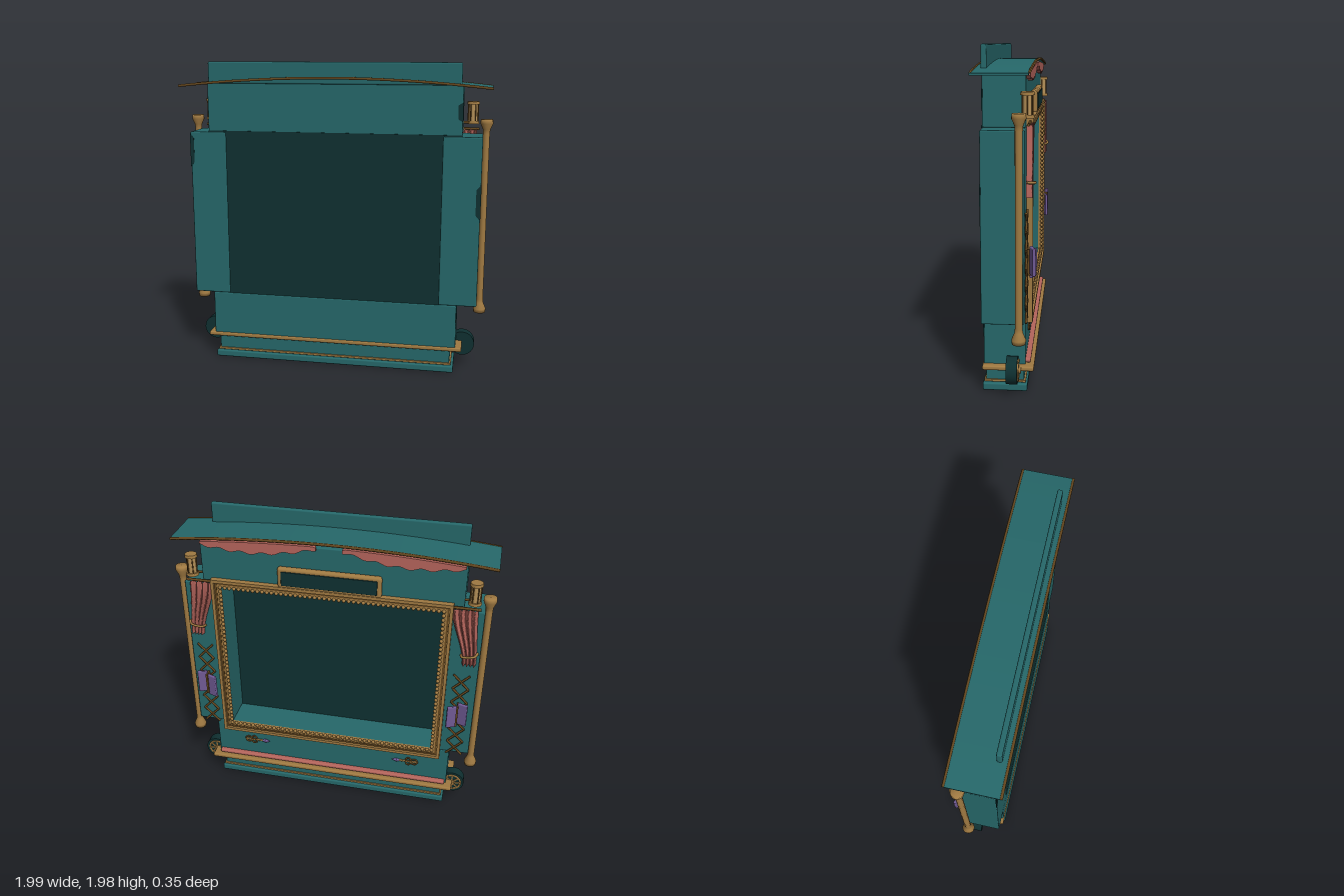
import * as THREE from 'three';
import { RoundedBoxGeometry } from 'three/addons/geometries/RoundedBoxGeometry.js';

const mat = (name, color, side = THREE.FrontSide) => {
  const m = new THREE.MeshStandardMaterial({ color, side });
  m.name = name;
  return m;
};

export function createModel() {
  const root = new THREE.Group();
  root.name = 'puppetStage';
  const teal = mat('teal paint', 0x26686a);
  const dark = mat('dark teal', 0x0f3031);
  const brass = mat('brass', 0xa07a42);
  const bronze = mat('dark bronze', 0x66481f);
  const rose = mat('rose cloth', 0xb5655c, THREE.DoubleSide);
  const purple = mat('purple', 0x705a94);
  const amber = mat('amber glass', 0xb8935a);

  const add = (name, geo, material, parent = root) => {
    const m = new THREE.Mesh(geo, material);
    m.name = name;
    parent.add(m);
    return m;
  };
  // box given by its limits on each axis
  const box = (name, material, [x0, x1], [y0, y1], [z0, z1], r = 0) => {
    const d = [x1 - x0, y1 - y0, z1 - z0];
    const g = r ? new RoundedBoxGeometry(...d, 2, r) : new THREE.BoxGeometry(...d);
    g.translate((x0 + x1) / 2, (y0 + y1) / 2, (z0 + z1) / 2);
    return add(name, g, material);
  };
  const span = (s, a, b) => (s > 0 ? [a, b] : [-b, -a]);
  const tube = (name, pts, r, material, n = 24, sides = 6) =>
    add(name, new THREE.TubeGeometry(new THREE.CatmullRomCurve3(pts.map(p => new THREE.Vector3(...p))), n, r, sides), material);
  const rod = (name, a, b, r, material) => {
    const A = new THREE.Vector3(...a), B = new THREE.Vector3(...b);
    const m = add(name, new THREE.CylinderGeometry(r, r, A.distanceTo(B), 6), material);
    m.position.copy(A).add(B).multiplyScalar(0.5);
    m.quaternion.setFromUnitVectors(new THREE.Vector3(0, 1, 0), B.sub(A).normalize());
    return m;
  };

  // Cabinet
  const Z = [-0.11, 0.13];
  box('upperCabinet', teal, [-0.81, 0.81], [1.54, 1.855], Z, 0.008);
  box('lowerCabinet', teal, [-0.81, 0.81], [0.17, 0.46], Z, 0.008);
  box('footCabinet', teal, [-0.775, 0.775], [0.04, 0.18], [-0.1, 0.12]);
  box('plinth', teal, [-0.8, 0.8], [0.005, 0.05], [-0.12, 0.14], 0.01);
  box('plinthStrip', brass, [-0.785, 0.785], [0.055, 0.067], [-0.11, 0.13]);
  box('bumperBoard', brass, [-0.85, 0.85], [0.15, 0.178], [-0.16, 0.137], 0.01);
  box('clothRail', rose, [-0.8, 0.8], [0.183, 0.208], [-0.14, 0.12], 0.01);
  box('stagePanel', dark, [-0.7, 0.7], [0.455, 1.545], [0.1, 0.126]);
  box('seam', dark, [-0.81, 0.81], [1.538, 1.55], [0.12, 0.134]);

  // Roof: a shallow arched sheet with trimmed edges
  const roofY = x => 1.895 - 0.055 * (x / 0.985) ** 2;
  const xs = Array.from({ length: 25 }, (_, i) => -0.985 + (1.97 * i) / 24);
  const roof = new THREE.Shape([
    ...xs.map(x => new THREE.Vector2(x, roofY(x) - 0.012)),
    ...xs.slice().reverse().map(x => new THREE.Vector2(x, roofY(x))),
  ]);
  add('roof', new THREE.ExtrudeGeometry(roof, { depth: 0.31, bevelEnabled: false }).translate(0, 0, -0.135), teal);
  for (const z of [-0.135, 0.172]) tube('roofTrim', xs.map(x => [x, roofY(x) - 0.005, z]), 0.009, bronze, 40);
  box('signBoard', teal, [-0.8, 0.8], [1.85, 1.987], [0.105, 0.137], 0.01);

  // Proscenium frame with beading
  const rect = (w, y0, y1, P) => {
    const p = new P();
    p.moveTo(-w, y0); p.lineTo(w, y0); p.lineTo(w, y1); p.lineTo(-w, y1); p.closePath();
    return p;
  };
  const frame = (name, w, y0, y1, t, depth, material) => {
    const s = rect(w, y0, y1, THREE.Shape);
    s.holes.push(rect(w - t, y0 + t, y1 - t, THREE.Path));
    add(name, new THREE.ExtrudeGeometry(s, { depth, bevelEnabled: false }).translate(0, 0, -0.105 - depth), material);
  };
  frame('stageFrame', 0.75, 0.41, 1.585, 0.055, 0.025, brass);
  frame('stageFrameGroove', 0.728, 0.432, 1.563, 0.012, 0.029, bronze);
  frame('stageFrameLip', 0.75, 0.41, 1.585, 0.02, 0.042, brass);
  const beads = [];
  for (let i = 0; i <= 46; i++) for (const y of [0.465, 1.53]) beads.push([-0.695 + (1.39 * i) / 46, y]);
  for (let i = 1; i < 36; i++) for (const x of [-0.695, 0.695]) beads.push([x, 0.465 + (1.065 * i) / 36]);
  const bead = new THREE.SphereGeometry(0.012, 8, 6);
  const beading = new THREE.InstancedMesh(bead, brass, 0);
  beading.count = 0;
  const beadGroup = new THREE.Group();
  beadGroup.name = 'frameBeading';
  root.add(beadGroup);
  for (const [x, y] of beads) add('bead', bead, brass, beadGroup).position.set(x, y, -0.13);

  // Blank name plate above the stage
  box('platePanelFrame', brass, [-0.32, 0.32], [1.575, 1.715], [-0.145, -0.105], 0.018);
  box('platePanel', dark, [-0.295, 0.295], [1.598, 1.692], [-0.15, -0.14], 0.004);

  for (const s of [1, -1]) {
    box('sideCabinet', teal, span(s, 0.695, 0.935), [0.46, 1.54], Z, 0.008);

    // Turned side column
    const post = [[0, 0.36], [0.038, 0.36], [0.041, 0.385], [0.024, 0.425], [0.021, 0.45],
      [0.021, 1.54], [0.024, 1.57], [0.04, 1.605], [0.038, 1.632], [0, 1.632]];
    add('sideColumn', new THREE.LatheGeometry(post.map(p => new THREE.Vector2(...p)), 16), brass).position.set(s * 0.955, 0, -0.082);

    // Lantern
    const lantern = new THREE.Group();
    lantern.name = 'lantern';
    lantern.position.set(s * 0.868, 1.67, -0.122);
    root.add(lantern);
    add('lanternGlass', new THREE.CylinderGeometry(0.028, 0.028, 0.12, 12), amber, lantern);
    for (const y of [-0.061, 0.061]) add('lanternCap', new THREE.CylinderGeometry(0.037, 0.04, 0.018, 12), brass, lantern).position.y = y;
    for (let i = 0; i < 6; i++) {
      const a = (i * Math.PI) / 3;
      add('lanternBar', new THREE.CylinderGeometry(0.004, 0.004, 0.12, 5), bronze, lantern).position.set(0.031 * Math.cos(a), 0, 0.031 * Math.sin(a));
    }
    rod('lanternBracket', [s * 0.868, 1.61, -0.1], [s * 0.79, 1.61, -0.1], 0.008, bronze);

    // Wheel with spokes
    const wheel = new THREE.Group();
    wheel.name = 'wheel';
    wheel.position.set(s * 0.85, 0.158, -0.037);
    root.add(wheel);
    add('tyre', new THREE.CylinderGeometry(0.08, 0.08, 0.064, 24).rotateX(Math.PI / 2), dark, wheel);
    add('wheelRim', new THREE.TorusGeometry(0.058, 0.007, 6, 24), brass, wheel).position.z = -0.033;
    add('hub', new THREE.CylinderGeometry(0.018, 0.018, 0.025, 12).rotateX(Math.PI / 2), brass, wheel).position.z = -0.038;
    for (let i = 0; i < 4; i++) {
      const spoke = add('spoke', new THREE.BoxGeometry(0.115, 0.009, 0.008), brass, wheel);
      spoke.position.z = -0.034;
      spoke.rotation.z = (i * Math.PI) / 4;
    }

    // Valance swag with scalloped lower edge
    const swag = new THREE.Shape();
    const N = 40, sx = t => s * (0.08 + 0.72 * t);
    swag.moveTo(sx(0), roofY(sx(0)) - 0.03);
    for (let i = 1; i <= N; i++) swag.lineTo(sx(i / N), roofY(sx(i / N)) - 0.025);
    for (let i = N; i >= 0; i--) {
      const t = i / N;
      swag.lineTo(sx(t), roofY(sx(t)) - 0.045 - 0.05 * Math.sin(Math.PI * t) - 0.008 * Math.cos(t * 34));
    }
    add('valanceSwag', new THREE.ExtrudeGeometry(swag, { depth: 0.024, bevelEnabled: false }).translate(0, 0, -0.134), rose);

    // Pleated curtain, gathered outward toward the tie
    const cloth = new THREE.PlaneGeometry(1, 1, 32, 12);
    const p = cloth.attributes.position;
    for (let i = 0; i < p.count; i++) {
      const u = p.getX(i) + 0.5, v = 0.5 - p.getY(i);
      const k = v * v * (3 - 2 * v);
      const inner = 0.74 + 0.09 * k, outer = 0.895 + 0.02 * k;
      p.setXYZ(i, s * (inner + (outer - inner) * u), 1.565 - 0.39 * v, -0.136 + 0.017 * Math.cos(u * Math.PI * 8));
    }
    cloth.computeVertexNormals();
    add('curtain', cloth, rose);
    rod('curtainRod', [s * 0.73, 1.567, -0.13], [s * 0.91, 1.567, -0.13], 0.009, bronze);
    tube('curtainTie', [[s * 0.82, 1.235, -0.12], [s * 0.83, 1.245, -0.158], [s * 0.9, 1.255, -0.158], [s * 0.92, 1.26, -0.12]], 0.008, brass, 12);

    // Crossed lattice
    for (let i = 0; i < 6; i++) {
      const y = 0.455 + i * 0.105;
      for (const d of [1, -1])
        rod('latticeSlat', [s * 0.84 - d * 0.05, y, -0.118], [s * 0.84 + d * 0.05, y + 0.105, -0.118], 0.007, bronze);
    }

    // Folded purple ornament on the lattice
    for (const d of [1, -1]) {
      const leaf = add('purplePanel', new RoundedBoxGeometry(0.066, 0.16, 0.02, 2, 0.006), purple);
      leaf.position.set(s * 0.835 + d * 0.032, 0.795 + d * s * 0.014, -0.152);
      leaf.rotation.y = d * 0.35;
    }
    box('purpleSpine', bronze, span(s, 0.829, 0.841), [0.72, 0.87], [-0.166, -0.11]);

    // Scroll ornament on the apron
    for (const [x, y, r] of [[0.585, 0.327, 0.022], [0.545, 0.34, 0.016], [0.545, 0.314, 0.016]])
      add('scroll', new THREE.TorusGeometry(r, 0.006, 6, 16), bronze).position.set(s * x, y, -0.116);
    rod('scrollStem', [s * 0.61, 0.327, -0.116], [s * 0.47, 0.327, -0.116], 0.007, brass);
    const gem = add('scrollGem', new THREE.OctahedronGeometry(0.03), purple);
    gem.position.set(s * 0.465, 0.327, -0.116);
    gem.scale.set(1.2, 0.55, 0.6);
  }
  root.children.filter(c => c.isInstancedMesh).forEach(c => root.remove(c));

  // Worn paint patches at the cabinet edges
  const chips = [[0.782, 0.812, 1.63, 1.75], [-0.937, -0.912, 1.31, 1.53], [0.907, 0.937, 1.02, 1.25], [0.803, 0.812, 0.34, 0.42]];
  for (const [x0, x1, y0, y1] of chips) {
    const edge = x1 > 0 ? x1 : x0, inn = x1 > 0 ? x0 : x1, c = (y1 - y0) * 0.15;
    const pts = [[edge, y0], [inn, y0 + c], [inn, y1 - c], [edge, y1]].map(q => new THREE.Vector2(...q));
    add('wornPatch', new THREE.ExtrudeGeometry(new THREE.Shape(pts), { depth: 0.006, bevelEnabled: false }).translate(0, 0, 0.126), dark);
  }
  box('wornPatch', dark, [0.805, 0.813], [0.42, 0.455], [-0.06, 0.01]);
  return root;
}
